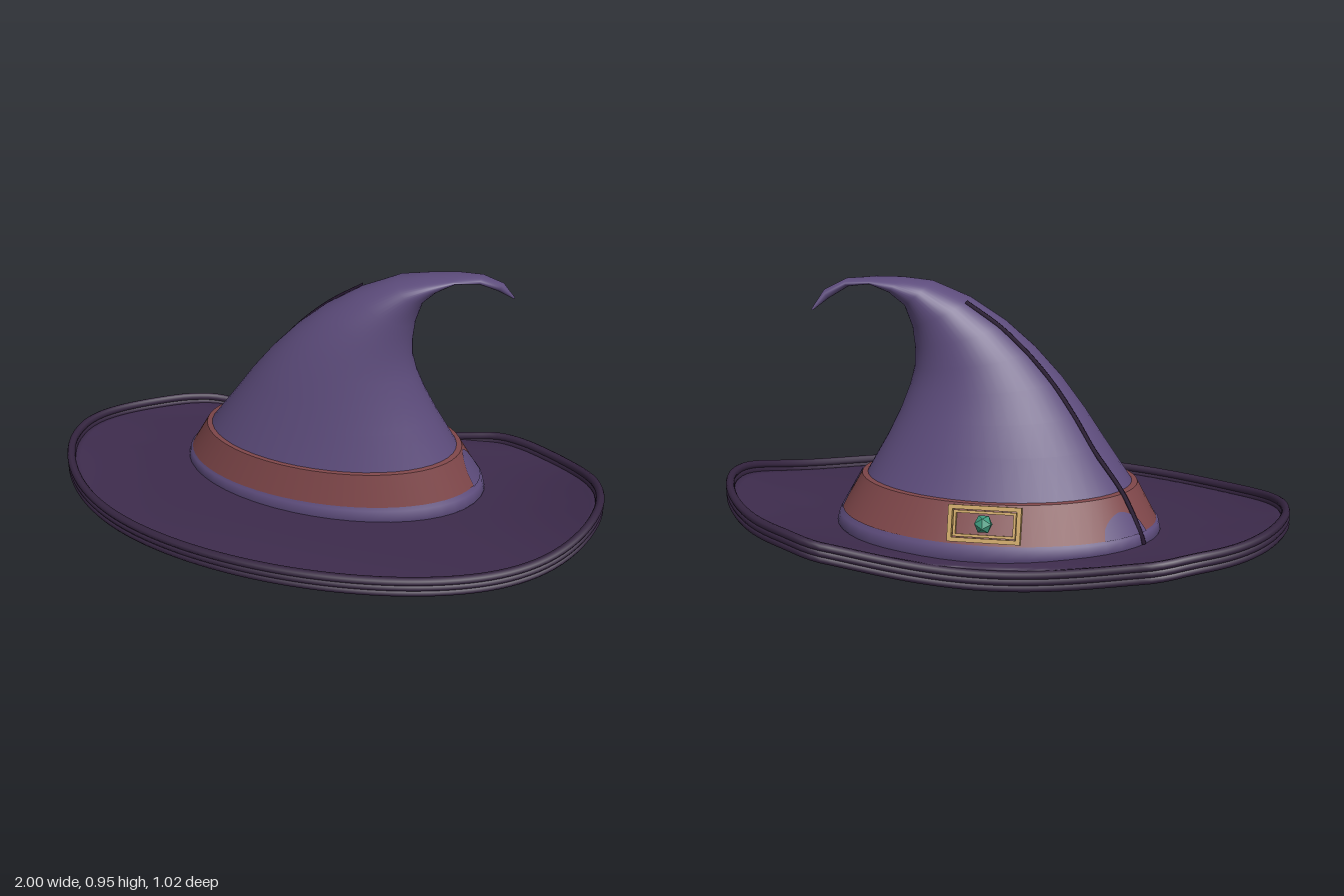
import * as THREE from 'three';

const { cos, sin, PI, sqrt, abs, max } = Math;
const mat = (name, color, side = THREE.FrontSide) => {
  const m = new THREE.MeshStandardMaterial({ color, side });
  m.name = name;
  return m;
};

// Surface through rows of points: at(angle, row) returns [x, y, z]
function loft(at, rows, n, a0 = 0, a1 = 2 * PI) {
  const closed = a1 - a0 > 6.28, cols = closed ? n : n + 1;
  const pos = [], idx = [];
  for (let j = 0; j < rows; j++)
    for (let i = 0; i < cols; i++) pos.push(...at(a0 + (a1 - a0) * i / n, j));
  for (let j = 0; j < rows - 1; j++)
    for (let i = 0; i < n; i++) {
      const k = (i + 1) % cols, a = j * cols + i, b = j * cols + k;
      idx.push(a, a + cols, b, b, a + cols, b + cols);
    }
  const g = new THREE.BufferGeometry();
  g.setAttribute('position', new THREE.Float32BufferAttribute(pos, 3));
  g.setIndex(idx);
  g.computeVertexNormals();
  return g;
}

// Oval section [leftX, leftY, rightX, rightY, frontZ, backZ]; angle 0 is +x, PI/2 is the front
function oval(s, a, k = 1) {
  const c = cos(a) * k / 2;
  return [
    (s[0] + s[2]) / 2 + (s[2] - s[0]) * c,
    (s[1] + s[3]) / 2 + (s[3] - s[1]) * c,
    (s[4] + s[5]) / 2 + (s[4] - s[5]) * sin(a) * k / 2,
  ];
}
const mix = (s, t, f) => s.map((v, i) => v + (t[i] - v) * f);

// Crown sections from the base roll to the curled tip
const crown = [
  [-0.545, 0.07, 0.55, 0.065, 0.155, -0.465],
  [-0.562, 0.105, 0.568, 0.09, 0.168, -0.478],
  [-0.555, 0.137, 0.558, 0.128, 0.163, -0.474],
  [-0.525, 0.15, 0.525, 0.15, 0.148, -0.455],
  [-0.46, 0.265, 0.46, 0.265, 0.125, -0.40],
  [-0.365, 0.40, 0.385, 0.40, 0.10, -0.345],
  [-0.293, 0.505, 0.342, 0.49, 0.084, -0.305],
  [-0.212, 0.61, 0.31, 0.575, 0.067, -0.265],
  [-0.12, 0.71, 0.294, 0.64, 0.051, -0.24],
  [-0.02, 0.797, 0.292, 0.705, 0.033, -0.218],
  [0.10, 0.875, 0.299, 0.775, 0.012, -0.20],
  [0.23, 0.93, 0.322, 0.85, -0.018, -0.19],
  [0.33, 0.942, 0.37, 0.895, -0.046, -0.185],
  [0.42, 0.945, 0.43, 0.925, -0.085, -0.185],
  [0.51, 0.943, 0.50, 0.918, -0.125, -0.19],
  [0.578, 0.91, 0.562, 0.882, -0.17, -0.205],
  [0.617, 0.848, 0.611, 0.845, -0.212, -0.219],
];

const bandLow = [-0.547, 0.142, 0.545, 0.142, 0.156, -0.468];
const bandHigh = [-0.478, 0.264, 0.478, 0.264, 0.136, -0.411];
const bandLip = [-0.458, 0.267, 0.458, 0.267, 0.123, -0.398];

// Brim: t = 0 at the opening, 1 at the rim; the sides rise and the back curls straight down
function brimPoint(a, t, drop = 0) {
  const c = cos(a), s = sin(a);
  const rim = 0.075 + (0.075 + 0.015 * c) * c ** 8 + 0.05 * max(0, -s);
  const hole = 0.092 - 0.01 * c;
  const z = (-0.155 + 0.31 * s) * (1 - t) + (-0.05 + 0.545 * s) * t;
  const curl = max(0, -0.42 - z);
  const y = hole + (rim - hole) * t * t - drop - 3 * curl * curl;
  return [(0.55 + 0.435 * t) * c, y, max(z, drop - 0.495)];
}

export function createModel() {
  const hat = new THREE.Group();
  hat.name = 'pointedHat';
  const cloth = mat('purple cloth', 0x5d4c7c, THREE.DoubleSide);
  const brimCloth = mat('dark purple brim', 0x3d2b4c);
  const piping = mat('deep purple piping', 0x34243f);
  const leather = mat('red brown leather', 0x7e4649, THREE.DoubleSide);
  const thread = mat('dark thread', 0x261730);
  const gold = mat('gold', 0xc09a56);
  const green = mat('green gem', 0x3e997d);
  const add = (name, geo, material, parent = hat) => {
    const m = new THREE.Mesh(geo, material);
    m.name = name;
    parent.add(m);
    return m;
  };

  // Crown, open underneath
  add('crown', loft((a, j) => oval(crown[j], a), crown.length, 48), cloth);

  // Band with a lip closing onto the crown
  add('band', loft((a, j) => oval([bandLow, bandHigh][j], a), 2, 64), leather);
  add('bandLip', loft((a, j) => oval([bandHigh, bandLip][j], a), 2, 64), leather);

  // Cloth showing over the band at each side
  const patch = (name, mid, half, height) => add(name, loft((a, j) => {
    const u = (a - mid) / half;
    const h = height * sqrt(max(0, 1 - abs(u) ** 1.6));
    return oval(mix(bandLow, bandHigh, h * j / 4), a, 1.008);
  }, 5, 16, mid - half, mid + half), cloth);
  patch('leftPatch', 0, 0.2, 1);
  patch('rightPatch', 3.71, 0.22, 0.62);

  // Brim: underside outwards, then upper side inwards
  const N = 14;
  add('brim', loft((a, j) => (j <= N
    ? brimPoint(a, j / N, 0.025)
    : brimPoint(a, (2 * N + 1 - j) / N)), 2 * N + 2, 96), brimCloth);

  // Three stacked rolls of piping around the rim
  ['upperPiping', 'middlePiping', 'lowerPiping'].forEach((name, k) => {
    const pts = [];
    for (let i = 0; i < 96; i++) {
      const [x, y, z] = brimPoint(i / 96 * 2 * PI, 1);
      pts.push(new THREE.Vector3(x, y + 0.022 * (1 - k), z));
    }
    const path = new THREE.CatmullRomCurve3(pts, true);
    add(name, new THREE.TubeGeometry(path, 144, 0.015, 8, true), piping);
  });

  // Seam up the crown, crossing the band
  const seamAngle = PI + 0.43;
  const seamPts = [crown[1], bandLow, bandHigh, ...crown.slice(5, 11)]
    .map((s) => new THREE.Vector3(...oval(s, seamAngle, 1.004)));
  add('seam', new THREE.TubeGeometry(new THREE.CatmullRomCurve3(seamPts), 48, 0.008, 6), thread);

  // Buckle at the back, leaning with the band
  const buckle = new THREE.Group();
  buckle.name = 'buckle';
  buckle.position.set(0, 0.206, -0.441);
  buckle.rotation.x = 0.38;
  hat.add(buckle);
  const rect = (shape, w, h) => shape.moveTo(-w, -h).lineTo(w, -h).lineTo(w, h).lineTo(-w, h).closePath();
  const frame = (name, w, h, edge, depth, z) => {
    const s = rect(new THREE.Shape(), w, h);
    s.holes.push(rect(new THREE.Path(), w - edge, h - edge));
    const g = new THREE.ExtrudeGeometry(s, { depth, bevelEnabled: false });
    add(name, g.translate(0, 0, z), gold, buckle);
  };
  frame('outerFrame', 0.12, 0.06, 0.014, 0.032, -0.016);
  frame('innerFrame', 0.103, 0.043, 0.009, 0.022, -0.008);
  const stud = add('gemSetting', new THREE.CylinderGeometry(0.014, 0.018, 0.035, 10), gold, buckle);
  stud.rotation.x = -PI / 2;
  stud.position.z = -0.006;
  const gem = add('gem', new THREE.IcosahedronGeometry(0.032, 0), green, buckle);
  gem.position.set(0, 0.002, -0.028);
  return hat;
}
